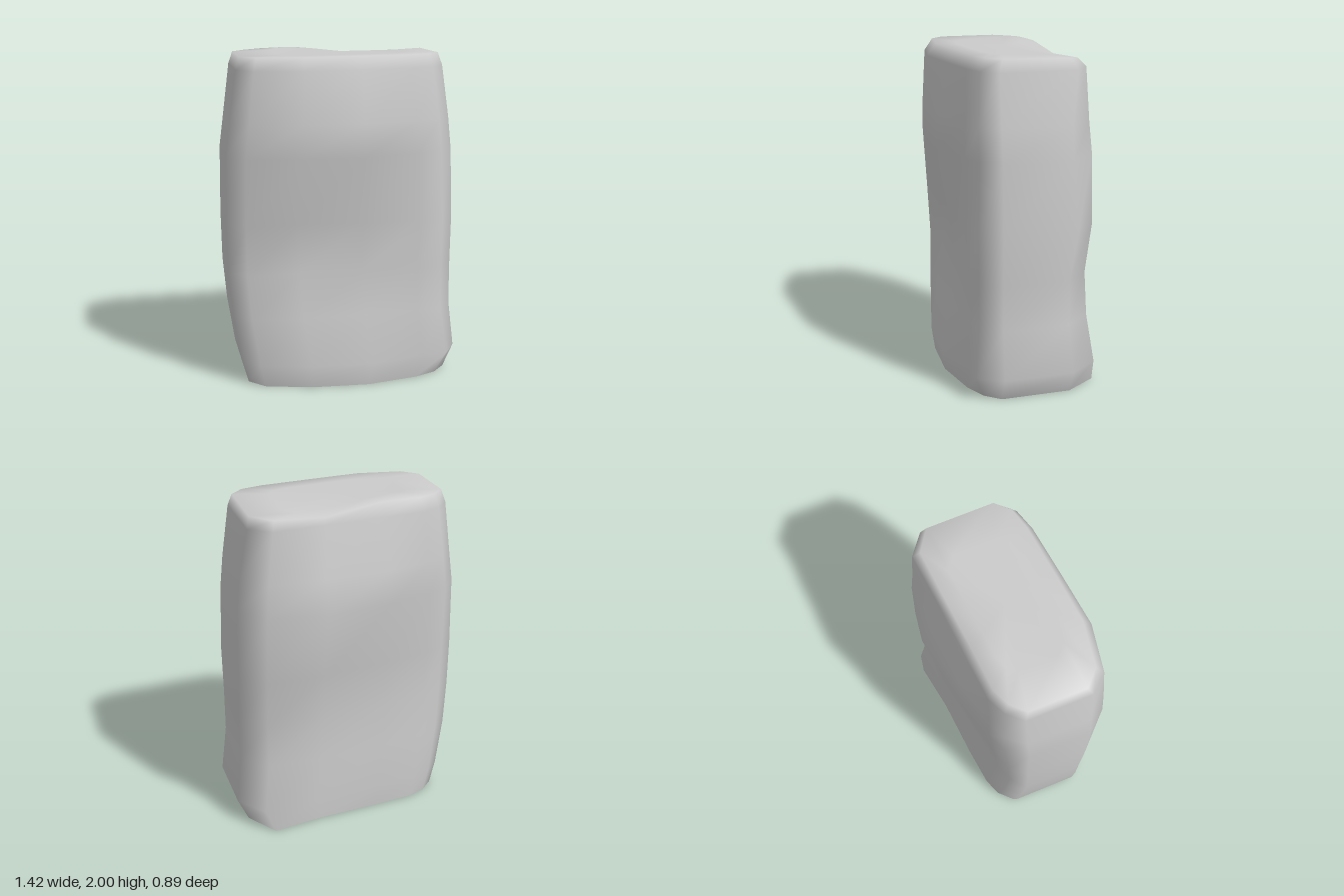
import * as THREE from 'three';

// Position of each outline point across the width: -1 is the right flank, 1 the left flank
const ACROSS = [-1, -0.85, -0.4, 0.15, 0.65, 0.87, 1, 1, 0.8, 0.3, -0.3, -0.7, -0.87, -1];

// Levels: height, x range, then the depth of every outline point from front right around to back right
const LEVELS = [
  [0, -0.6, 0.64, 0.22, 0.32, 0.39, 0.41, 0.35, 0.29, 0.2, -0.22, -0.41, -0.36, -0.33, -0.3, -0.26, -0.18],
  [0.14, -0.64, 0.705, 0.23, 0.34, 0.41, 0.435, 0.35, 0.35, 0.2, -0.22, -0.4, -0.36, -0.34, -0.3, -0.26, -0.17],
  [0.43, -0.685, 0.67, 0.22, 0.33, 0.36, 0.37, 0.34, 0.32, 0.2, -0.2, -0.36, -0.36, -0.33, -0.28, -0.24, -0.16],
  [0.7, -0.71, 0.67, 0.21, 0.32, 0.315, 0.34, 0.345, 0.32, 0.2, -0.2, -0.345, -0.355, -0.3, -0.255, -0.22, -0.14],
  [1, -0.715, 0.675, 0.23, 0.335, 0.31, 0.355, 0.35, 0.32, 0.2, -0.25, -0.385, -0.38, -0.325, -0.275, -0.23, -0.14],
  [1.41, -0.71, 0.66, 0.24, 0.36, 0.42, 0.445, 0.355, 0.31, 0.2, -0.22, -0.38, -0.445, -0.385, -0.3, -0.25, -0.14],
  [1.6, -0.685, 0.64, 0.24, 0.36, 0.42, 0.415, 0.345, 0.31, 0.2, -0.22, -0.365, -0.38, -0.355, -0.29, -0.25, -0.14],
  [1.91, -0.645, 0.595, 0.25, 0.35, 0.4, 0.365, 0.33, 0.29, 0.2, -0.26, -0.355, -0.325, -0.3, -0.28, -0.23, -0.14],
];

function outline([y, x0, x1, ...depth]) {
  return ACROSS.map((t, i) => [THREE.MathUtils.lerp(x0, x1, (t + 1) / 2), y, depth[i]]);
}

// The crown has a small rise on its right half and a sag along the middle of the back edge
function crownHeight(x, z) {
  const rise = 0.02 * Math.exp(-((x + 0.25) ** 2 + (z + 0.17) ** 2) / 0.03);
  const sag = 0.045 * Math.exp(-((x - 0.2) ** 2) / 0.1 - ((z + 0.3) ** 2) / 0.02);
  return 1.983 + rise - sag;
}

export function createModel() {
  const rings = LEVELS.map(outline);
  const shoulder = rings[rings.length - 1];

  // Crown rings drawn inwards from the shoulder
  for (const [sx, sz] of [[0.965, 0.87], [0.62, 0.58]]) {
    rings.push(shoulder.map(([x, , z]) => [x * sx, crownHeight(x * sx, z * sz), z * sz]));
  }

  const n = ACROSS.length;
  const positions = rings.flat(2);
  const index = [];
  for (let j = 0; j < rings.length - 1; j++) {
    for (let i = 0; i < n; i++) {
      const a = j * n + i, b = j * n + (i + 1) % n;
      index.push(a, b, b + n, a, b + n, a + n);
    }
  }
  const top = rings.length * n;
  positions.push(-0.02, crownHeight(-0.02, 0), 0);
  for (let i = 0; i < n; i++) index.push(top, top - n + i, top - n + (i + 1) % n);

  const geometry = new THREE.BufferGeometry();
  geometry.setAttribute('position', new THREE.Float32BufferAttribute(positions, 3));
  geometry.setIndex(index);
  geometry.computeVertexNormals();

  const material = new THREE.MeshStandardMaterial({ color: 0xcccccc });
  const body = new THREE.Mesh(geometry, material);
  body.name = 'stoneBody';

  // Flat underside with a crisp edge
  const footShape = new THREE.Shape(rings[0].map(([x, , z]) => new THREE.Vector2(x, z)));
  const base = new THREE.Mesh(new THREE.ShapeGeometry(footShape).rotateX(Math.PI / 2), material);
  base.name = 'flatBase';

  const group = new THREE.Group();
  group.name = 'standingStone';
  group.add(body, base);
  return group;
}
